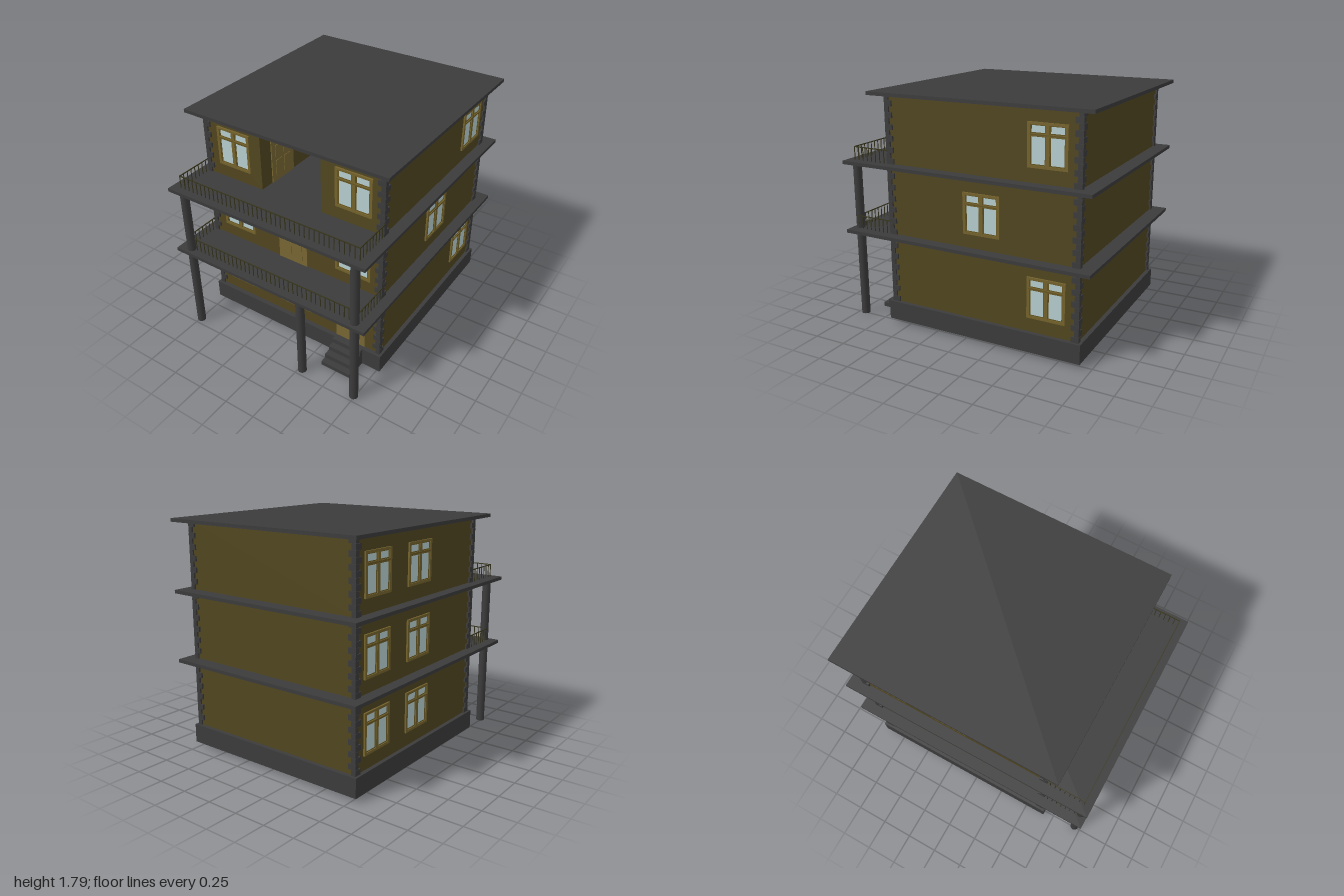
import * as THREE from 'three';

const mat = (name, color) => {
  const m = new THREE.MeshStandardMaterial({ color });
  m.name = name;
  return m;
};
const wallMat = mat('olive wall', 0x51461f);
const trimMat = mat('window trim', 0x75632c);
const sashMat = mat('window sash', 0x63531f);
const doorMat = mat('door wood', 0x776732);
const stoneMat = mat('charcoal stone', 0x3b3b3b);
const railMat = mat('railing', 0x37341c);
const glassMat = mat('glass', 0xb8cfd0);

const FRONT = 0.632, BACK = -0.888, SIDE = 0.757; // wall faces
const LEVELS = [[0.175, 0.695], [0.717, 1.235], [1.257, 1.77]]; // wall bottom and top per storey
const WINDOW_Y = [0.438, 0.976, 1.517];

function mesh(parent, name, geo, material, x = 0, y = 0, z = 0) {
  const m = new THREE.Mesh(geo, material);
  m.name = name;
  m.position.set(x, y, z);
  parent.add(m);
  return m;
}

// box given by its minimum and maximum on each axis
function box(parent, name, material, x0, x1, y0, y1, z0, z1) {
  return mesh(parent, name, new THREE.BoxGeometry(x1 - x0, y1 - y0, z1 - z0), material,
    (x0 + x1) / 2, (y0 + y1) / 2, (z0 + z1) / 2);
}

function rectPath(Type, x0, x1, y0, y1) {
  const p = new Type();
  p.moveTo(x0, y0);
  p.lineTo(x1, y0);
  p.lineTo(x1, y1);
  p.lineTo(x0, y1);
  p.closePath();
  return p;
}

// flat frame with rectangular openings
function frameGeo(outer, holes, depth) {
  const s = rectPath(THREE.Shape, ...outer);
  for (const h of holes) s.holes.push(rectPath(THREE.Path, ...h));
  return new THREE.ExtrudeGeometry(s, { depth, bevelEnabled: false });
}

const openings = [-1, 1].flatMap((s) => {
  const [a, b] = s < 0 ? [-0.125, -0.014] : [0.014, 0.125];
  return [[a, b, -0.134, 0.062], [a, b, 0.078, 0.136]];
});
const panes = openings.map(([a, b, c, d]) => [a + 0.007, b - 0.007, c + 0.006, d - 0.006]);
const trimGeo = frameGeo([-0.146, 0.146, -0.153, 0.153], openings, 0.013);
const sashGeo = frameGeo([-0.13, 0.13, -0.14, 0.14], panes, 0.006);
const glassGeo = new THREE.BoxGeometry(0.25, 0.27, 0.002);
const transomGeo = new THREE.BoxGeometry(0.262, 0.007, 0.004);

function makeWindow(parent, x, y, z, angle) {
  const g = new THREE.Group();
  g.name = 'window';
  g.position.set(x, y, z);
  g.rotation.y = angle;
  mesh(g, 'windowTrim', trimGeo, trimMat);
  mesh(g, 'windowSash', sashGeo, sashMat);
  mesh(g, 'windowGlass', glassGeo, glassMat, 0, 0, 0.002);
  mesh(g, 'windowTransom', transomGeo, sashMat, 0, 0.07, 0.013);
  parent.add(g);
}

// six-panel door, origin at the middle of its sill
function makeDoor(parent, x, y, z, angle) {
  const g = new THREE.Group();
  g.name = 'door';
  g.position.set(x, y, z);
  g.rotation.y = angle;
  box(g, 'doorLeaf', doorMat, -0.126, 0.126, 0, 0.408, 0, 0.008);
  for (const s of [-1, 1]) {
    for (const [y0, y1] of [[0.04, 0.17], [0.2, 0.295], [0.315, 0.37]]) {
      box(g, 'doorPanel', doorMat, s * 0.047 - 0.036, s * 0.047 + 0.036, y0, y1, 0.008, 0.012);
    }
  }
  parent.add(g);
}

// balcony railing on three sides
function makeRailing(parent, y) {
  const g = new THREE.Group();
  g.name = 'railing';
  const X = 0.77, Z = 0.94, H = 0.105, t = 0.003;
  box(g, 'frontHandrail', railMat, -X, X, y + H - 0.007, y + H, Z - t, Z + t);
  const bar = new THREE.BoxGeometry(0.005, H, 0.005);
  const n = 39;
  for (let i = 0; i <= n; i++) {
    mesh(g, 'baluster', bar, railMat, -X + (2 * X * i) / n, y + H / 2, Z);
  }
  for (const s of [-1, 1]) {
    box(g, 'sideHandrail', railMat, s * X - t, s * X + t, y + H - 0.007, y + H, FRONT, Z);
    for (let i = 1; i < 8; i++) {
      mesh(g, 'baluster', bar, railMat, s * X, y + H / 2, Z - i * 0.0385);
    }
  }
  parent.add(g);
}

// interlocking corner blocks for one storey
function makeQuoins(parent, y0, y1) {
  const n = 12, h = (y1 - y0) / n, out = 0.013;
  for (const sx of [-1, 1]) {
    for (const sz of [-1, 1]) {
      const cx = sx * (SIDE + out), cz = sz > 0 ? FRONT + out : BACK - out;
      for (let i = 0; i < n; i++) {
        const [w, d] = i % 2 ? [0.06, 0.035] : [0.035, 0.06];
        mesh(parent, 'cornerBlock', new THREE.BoxGeometry(w, h * 0.96, d), stoneMat,
          cx - sx * w / 2, y0 + (i + 0.5) * h, cz - sz * d / 2);
      }
    }
  }
}

export function createModel() {
  const house = new THREE.Group();
  house.name = 'house';

  // foundation and front steps
  box(house, 'foundation', stoneMat, -0.788, 0.788, 0.03, 0.177, -0.92, 0.667);
  [0.847, 0.797, 0.745, 0.695].forEach((z, i) => {
    box(house, 'frontStep', stoneMat, 0.385, 0.635, 0.03, 0.062 + i * 0.038, 0.64, z);
  });

  // two full storeys
  for (const [y0, y1] of LEVELS.slice(0, 2)) {
    box(house, 'storeyWalls', wallMat, -SIDE, SIDE, y0, y1, BACK, FRONT);
  }

  // top storey with a recessed terrace in the front
  const recessL = -0.26, recessR = 0.257, recessZ = -0.2;
  const plan = new THREE.Shape([
    [-SIDE, FRONT], [recessL, FRONT], [recessL, recessZ], [recessR, recessZ],
    [recessR, FRONT], [SIDE, FRONT], [SIDE, BACK], [-SIDE, BACK],
  ].map(([x, z]) => new THREE.Vector2(x, -z)));
  const [topY0, topY1] = LEVELS[2];
  const upper = new THREE.ExtrudeGeometry(plan, { depth: topY1 - topY0, bevelEnabled: false });
  upper.rotateX(-Math.PI / 2);
  mesh(house, 'topStoreyWalls', upper, wallMat, 0, topY0, 0);

  for (const [y0, y1] of LEVELS) makeQuoins(house, y0, y1);

  // floor slabs, balconies and flat roof
  box(house, 'balconySlab', stoneMat, -0.845, 0.845, 0.693, 0.719, -1, 1);
  box(house, 'balconySlab', stoneMat, -0.845, 0.845, 1.233, 1.259, -1, 1);
  box(house, 'roof', stoneMat, -0.845, 0.845, 1.766, 1.792, -1, 0.745);

  // round columns
  for (const [x, h] of [[-0.74, 1.235], [0.74, 1.235], [0.28, 0.695]]) {
    mesh(house, 'column', new THREE.CylinderGeometry(0.033, 0.033, h, 24), stoneMat, x, h / 2, 0.947);
  }

  makeRailing(house, 0.717);
  makeRailing(house, 1.257);

  // front windows
  const [y1, y2, y3] = WINDOW_Y;
  for (const [x, y] of [[-0.498, y1], [0.01, y1], [-0.498, y2], [0.525, y2], [-0.498, y3], [0.525, y3]]) {
    makeWindow(house, x, y, FRONT, 0);
  }
  makeWindow(house, 0.01, y3, recessZ, 0);

  // side windows
  for (const [z, y] of [[-0.65, y1], [-0.145, y2], [-0.65, y3]]) {
    makeWindow(house, SIDE, y, z, Math.PI / 2);
  }
  for (const y of WINDOW_Y) {
    for (const z of [-0.65, -0.145]) makeWindow(house, -SIDE, y, z, -Math.PI / 2);
  }

  // doors: entrance, first balcony, terrace
  makeDoor(house, 0.51, 0.18, FRONT, 0);
  makeDoor(house, 0, 0.719, FRONT, 0);
  makeDoor(house, recessL, 1.259, 0.39, Math.PI / 2);

  return house;
}
